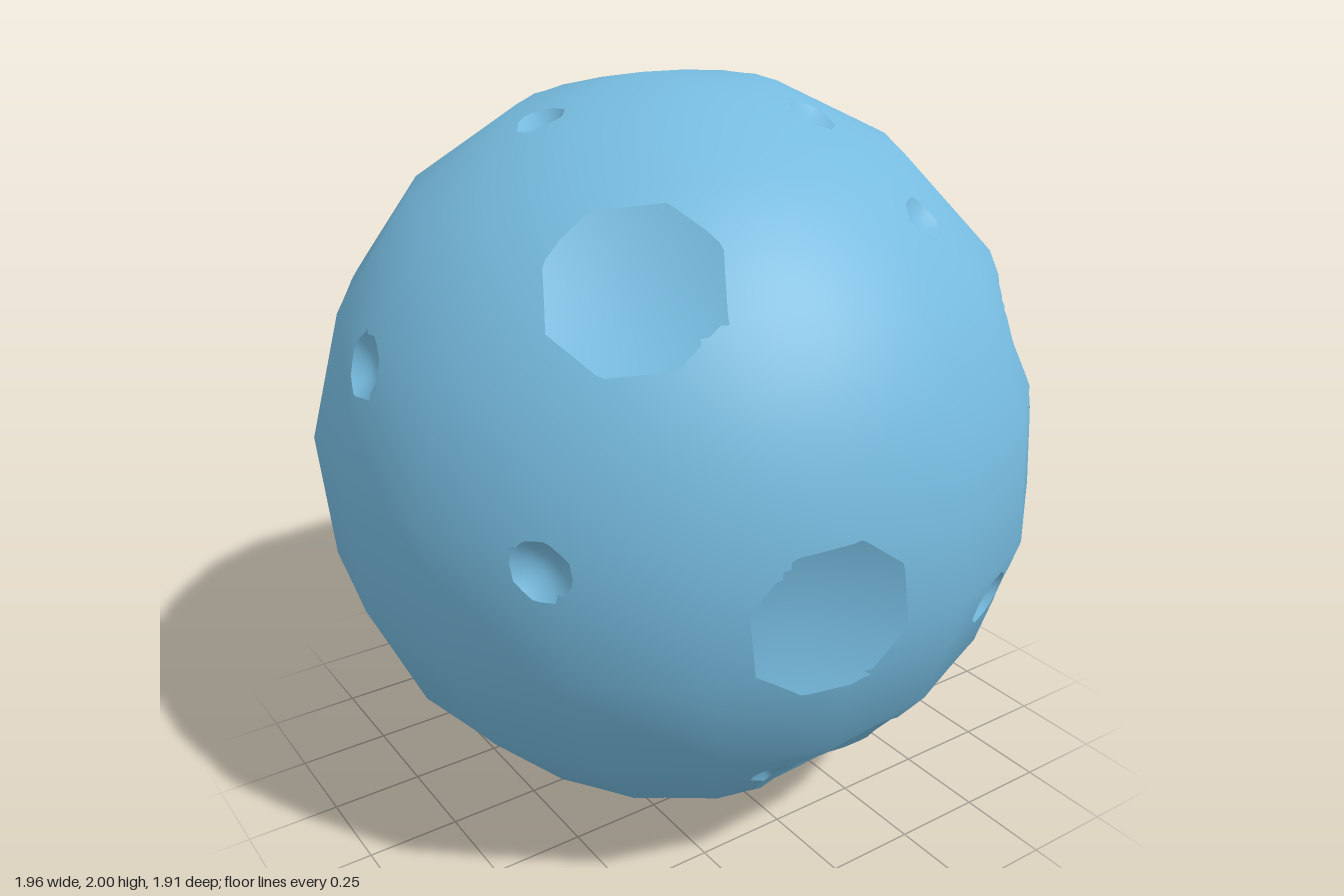
import * as THREE from 'three';

// Craters: direction x, y, z from the centre, rim radius, depth
const LARGE = [
  [-0.21, -0.10, 0.95], [0.72, 0.31, 0.54], [-0.48, 0.63, 0.54], [0.31, 0.70, -0.54],
  [-0.645, 0.28, -0.61], [0.52, -0.55, -0.54], [0.03, -0.68, 0.66],
].map(c => [...c, 0.22, 0.05]);
const SMALL = [
  [-0.75, 0.05, 0.58], [-0.87, 0.37, 0], [0.40, -0.265, 0.81], [0.86, -0.40, 0],
  [0.75, 0.32, -0.53], [0.21, 0.095, -0.92], [-0.50, -0.38, -0.71], [0.29, -0.83, 0.355],
].map(c => [...c, 0.083, 0.04]);
const FAINT = [
  [0.18, 0.90, 0.32], [-0.38, 0.87, 0], [0.30, 0.71, 0.63], [0.80, 0.57, 0],
  [0.07, 0.90, -0.30], [-0.17, -0.65, 0.68],
].map(c => [...c, 0.065, 0.025]);

const craters = [...LARGE, ...SMALL, ...FAINT].map(([x, y, z, radius, depth]) => {
  const axis = new THREE.Vector3(x, y, z).normalize();
  const u = new THREE.Vector3(0, 1, 0).cross(axis).normalize();
  return { axis, u, v: axis.clone().cross(u), radius, depth };
});

// Offset from the crater axis and its octagonal distance (1 at the rim)
function craterOffset(c, dir) {
  const along = dir.dot(c.axis);
  if (along < 0.9) return null;
  const w = dir.clone().addScaledVector(c.axis, -along);
  const side = Math.PI / 4;
  const a = Math.atan2(w.dot(c.v), w.dot(c.u)) + Math.PI * 2 + 0.25;
  const t = w.length() * Math.cos(a % side - side / 2) / Math.cos(side / 2) / c.radius;
  return { w, t, along };
}

function findCrater(dir) {
  for (const c of craters) {
    const o = craterOffset(c, dir);
    if (o && o.t < 1.0001) return { c, ...o };
  }
  return null;
}

// Tilted sphere with 18 segments and 9 rings
const ball = (w, h) => new THREE.SphereGeometry(1.003, w, h).scale(0.98, 1, 0.98).rotateZ(0.09);

function facetPlanes() {
  const p = ball(18, 9).toNonIndexed().attributes.position;
  const planes = [];
  for (let i = 0; i < p.count; i += 3) {
    const [a, b, c] = [0, 1, 2].map(k => new THREE.Vector3().fromBufferAttribute(p, i + k));
    planes.push(new THREE.Plane().setFromCoplanarPoints(a, b, c));
  }
  return planes;
}

function cratedSurface() {
  const planes = facetPlanes();
  const fine = ball(288, 144);
  const pos = fine.attributes.position;
  const step = 0.013;
  const dir = new THREE.Vector3();
  for (let i = 0; i < pos.count; i++) {
    dir.fromBufferAttribute(pos, i).normalize();
    // Pull nearby points onto the crater rims so that the rims stay crisp
    for (const c of craters) {
      const o = craterOffset(c, dir);
      if (o && Math.abs(o.t - 1) * c.radius < step) {
        const w = o.w.divideScalar(o.t);
        dir.copy(c.axis).multiplyScalar(Math.sqrt(1 - w.lengthSq())).add(w);
        break;
      }
    }
    // Flat facets of the coarse sphere
    let r = 2;
    for (const p of planes) {
      const d = p.normal.dot(dir);
      if (d > 0.5) r = Math.min(r, -p.constant / d);
    }
    // Bowl of the crater
    const hit = findCrater(dir);
    if (hit) r -= hit.c.depth * Math.max(0, 1 - hit.t * hit.t);
    pos.setXYZ(i, dir.x * r, dir.y * r, dir.z * r);
  }

  // Smooth normals on the ball and in each bowl, with a sharp break at the rim
  const geometry = fine.toNonIndexed();
  const p = geometry.attributes.position, n = geometry.attributes.normal;
  for (let i = 0; i < p.count; i += 3) {
    const corners = [0, 1, 2].map(k => new THREE.Vector3().fromBufferAttribute(p, i + k).normalize());
    const centre = corners[0].clone().add(corners[1]).add(corners[2]).normalize();
    const hit = findCrater(centre);
    corners.forEach((d, k) => {
      const normal = d.clone();
      if (hit) {
        const { w } = craterOffset(hit.c, d);
        normal.addScaledVector(w, -2 * hit.c.depth / hit.c.radius ** 2).normalize();
      }
      n.setXYZ(i + k, normal.x, normal.y, normal.z);
    });
  }
  return geometry;
}

export function createModel() {
  const model = new THREE.Group();
  model.name = 'moon';
  const material = new THREE.MeshStandardMaterial({ color: 0x76bbdf });
  const surface = new THREE.Mesh(cratedSurface(), material);
  surface.name = 'crateredSurface';
  surface.position.y = 1;
  model.add(surface);
  return model;
}
